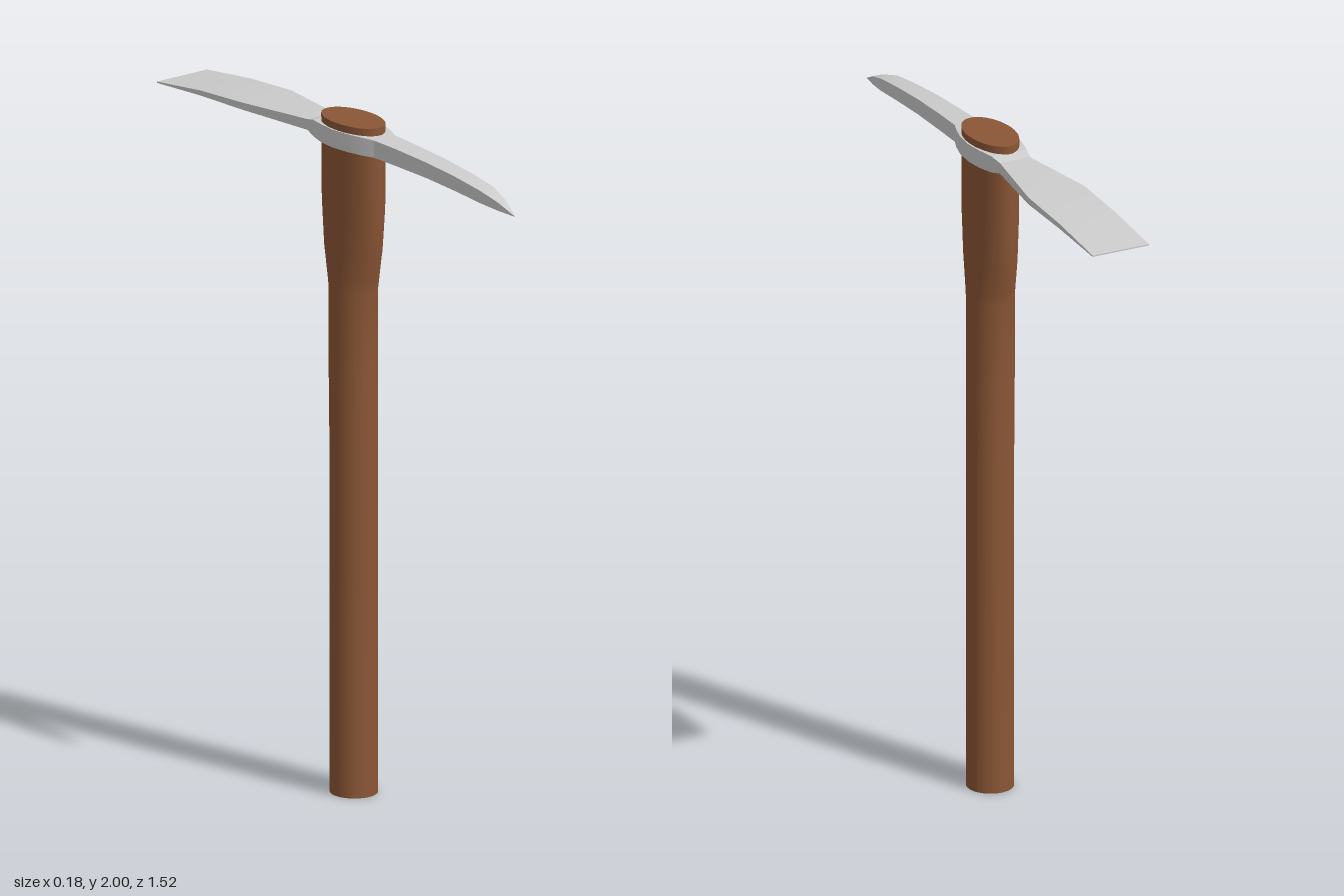
import * as THREE from 'three';
import { toCreasedNormals } from 'three/addons/utils/BufferGeometryUtils.js';

// Skin a list of equal-length rings of Vector3 and close both ends.
function loft(rings, crease) {
  const n = rings[0].length, last = (rings.length - 1) * n, index = [];
  for (let i = 0; i < rings.length - 1; i++) {
    for (let j = 0; j < n; j++) {
      const a = i * n + j, b = i * n + (j + 1) % n;
      index.push(a, a + n, b, b, a + n, b + n);
    }
  }
  for (let j = 1; j < n - 1; j++) {
    index.push(0, j, j + 1, last, last + j + 1, last + j);
  }
  const geometry = new THREE.BufferGeometry().setFromPoints(rings.flat());
  geometry.setIndex(index);
  return toCreasedNormals(geometry, crease);
}

// Oval handle: [y, back z, front z]
function handleGeometry() {
  const sections = [
    [0, -0.045, 0.095], [1.0, -0.045, 0.095], [1.25, -0.05, 0.095],
    [1.5, -0.051, 0.097], [1.53, -0.058, 0.104], [1.62, -0.08, 0.125],
    [1.75, -0.093, 0.14], [2, -0.096, 0.142],
  ];
  const sides = 40;
  return loft(sections.map(([y, z0, z1]) => Array.from({ length: sides }, (_, j) => {
    const t = (j / sides) * Math.PI * 2;
    return new THREE.Vector3(0.068 * Math.cos(t), y, (z0 + z1) / 2 + (z1 - z0) / 2 * Math.sin(t));
  })), 0.3);
}

// Four-sided head from the pick point to the flat blade: [z, half width, bottom, top]
function headGeometry() {
  const sections = [
    [0.76, 0.001, 1.893, 1.895], [0.7, 0.015, 1.899, 1.924], [0.63, 0.026, 1.907, 1.944],
    [0.53, 0.029, 1.915, 1.957], [0.4, 0.032, 1.922, 1.968], [0.26, 0.035, 1.924, 1.974],
    [0.165, 0.038, 1.925, 1.976],
    // eye around the handle
    [0.13, 0.052, 1.925, 1.978], [0.08, 0.067, 1.926, 1.979], [0.02, 0.074, 1.926, 1.979],
    [-0.04, 0.068, 1.926, 1.979], [-0.09, 0.056, 1.928, 1.977],
    // blade
    [-0.125, 0.048, 1.936, 1.968], [-0.375, 0.09, 1.942, 1.963],
    [-0.56, 0.09, 1.936, 1.951], [-0.76, 0.09, 1.923, 1.927],
  ];
  return loft(sections.map(([z, w, y0, y1]) => [
    new THREE.Vector3(w, y0, z), new THREE.Vector3(w, y1, z),
    new THREE.Vector3(-w, y1, z), new THREE.Vector3(-w, y0, z),
  ]), 0.2);
}

export function createModel() {
  const group = new THREE.Group();
  group.name = 'pickaxe';
  const handle = new THREE.Mesh(handleGeometry(), new THREE.MeshStandardMaterial({ color: 0x8b5636 }));
  handle.name = 'handle';
  const head = new THREE.Mesh(headGeometry(), new THREE.MeshStandardMaterial({ color: 0xcccccc }));
  head.name = 'head';
  group.add(handle, head);
  return group;
}
